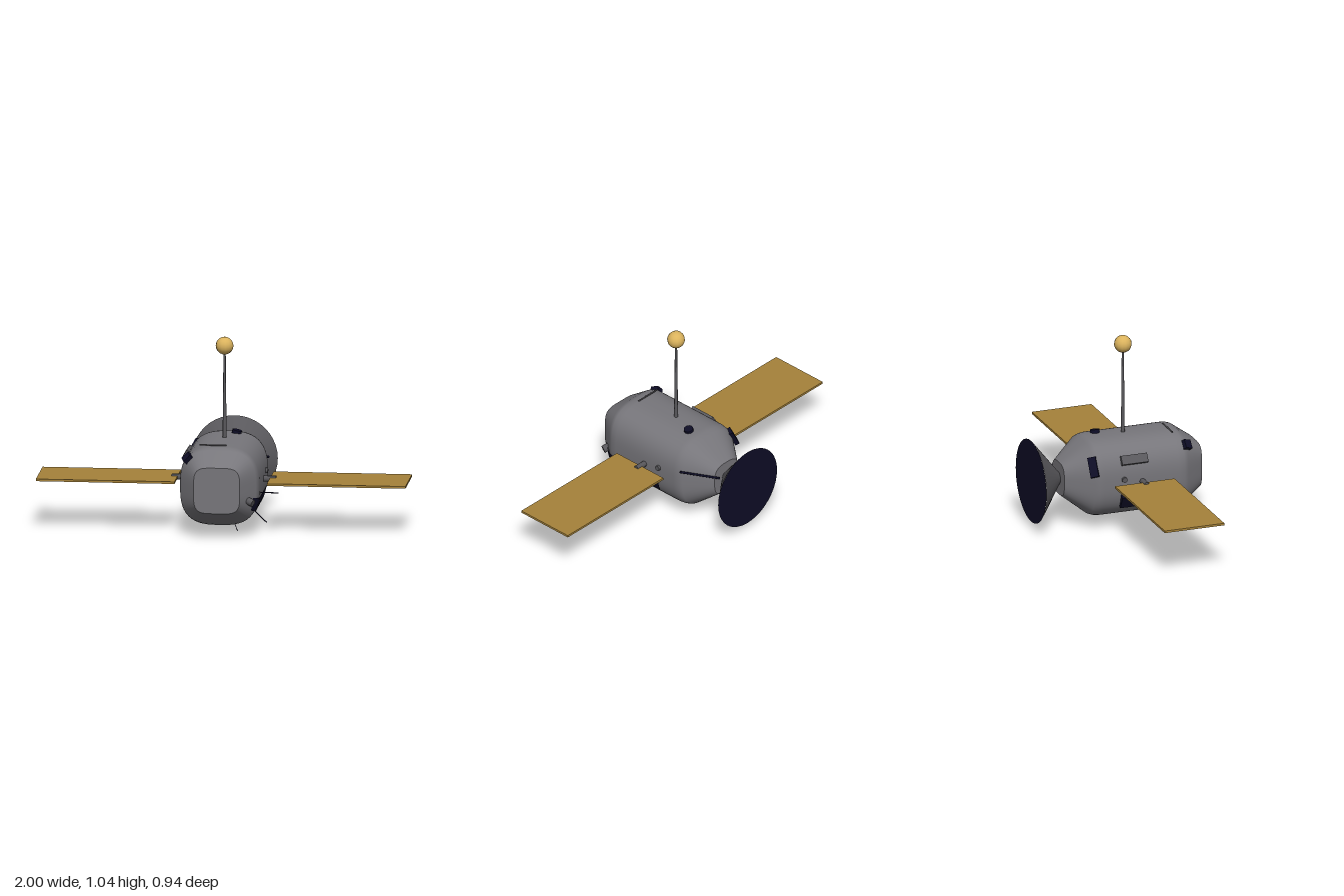
import * as THREE from 'three';

const mat = (name, color, side = THREE.FrontSide) => {
  const m = new THREE.MeshStandardMaterial({ color, side });
  m.name = name;
  return m;
};

const CY = 0.272; // height of the hull axis

// hull profile: z, half width, squareness
const PROFILE = [
  [0.47, 0.125, 4.5], [0.365, 0.201, 3.1], [0.34, 0.211, 2.9], [0.305, 0.215, 2.7],
  [-0.12, 0.215, 2.7], [-0.15, 0.211, 2.7], [-0.175, 0.201, 2.8], [-0.31, 0.092, 3.2],
];

// point on the hull at a given z and angle around the axis
function hullPoint(z, angle, lift = 0) {
  let i = 0;
  while (i < PROFILE.length - 2 && z < PROFILE[i + 1][0]) i++;
  const [z0, r0, p0] = PROFILE[i], [z1, r1, p1] = PROFILE[i + 1];
  const t = (z - z0) / (z1 - z0);
  const p = p0 + (p1 - p0) * t;
  const c = Math.cos(angle), s = Math.sin(angle);
  const r = (r0 + (r1 - r0) * t) / Math.pow(Math.abs(c) ** p + Math.abs(s) ** p, 1 / p) + lift;
  return new THREE.Vector3(r * c, CY + r * s, z);
}

// skin following the hull over a list of z stations and an angle range
function hullSkin(zs, a0, a1, n, lift = 0) {
  const closed = a1 - a0 > 6.28, cols = closed ? n : n + 1;
  const pos = [], index = [];
  for (const z of zs) {
    for (let j = 0; j < cols; j++) pos.push(...hullPoint(z, a0 + (a1 - a0) * j / n, lift).toArray());
  }
  for (let i = 0; i < zs.length - 1; i++) {
    for (let j = 0; j < n; j++) {
      const k = (j + 1) % cols;
      const a = i * cols + j, b = i * cols + k, c = a + cols, d = b + cols;
      index.push(a, c, b, b, c, d);
    }
  }
  const g = new THREE.BufferGeometry();
  g.setAttribute('position', new THREE.Float32BufferAttribute(pos, 3));
  g.setIndex(index);
  g.computeVertexNormals();
  return g;
}

export function createModel() {
  const model = new THREE.Group();
  model.name = 'satellite';
  const hullGrey = mat('hull grey', 0x77767b);
  const darkGrey = mat('dark grey', 0x5a595d);
  const navy = mat('navy', 0x0e0d26, THREE.DoubleSide);
  const panelGold = mat('panel gold', 0xa5823a);
  const ballGold = mat('ball gold', 0xdcb45e);

  const add = (name, geometry, material, x = 0, y = 0, z = 0) => {
    const m = new THREE.Mesh(geometry, material);
    m.name = name;
    m.position.set(x, y, z);
    model.add(m);
    return m;
  };
  // straight rod between two points
  const rod = (name, from, to, r0, r1, material, sides = 8) => {
    const a = new THREE.Vector3(...from), b = new THREE.Vector3(...to);
    const m = add(name, new THREE.CylinderGeometry(r1, r0, a.distanceTo(b), sides), material);
    m.position.lerpVectors(a, b, 0.5);
    m.quaternion.setFromUnitVectors(new THREE.Vector3(0, 1, 0), b.sub(a).normalize());
    return m;
  };
  // fitting seated on the hull, its local x axis pointing outwards
  const mount = (name, geometry, material, z, angle, tilt = 0) => {
    const m = add(name, geometry, material);
    m.position.copy(hullPoint(z, angle, 0.003));
    m.rotation.set(0, tilt, angle, 'ZYX');
    return m;
  };
  const stud = (r, h, sides) => new THREE.CylinderGeometry(r, r, h, sides).rotateZ(-Math.PI / 2);

  // hull with flat end caps
  add('hull', hullSkin(PROFILE.map((p) => p[0]), 0, Math.PI * 2, 64), hullGrey);
  for (const [name, z, turn] of [['frontCap', 0.47, 0], ['rearCap', -0.31, Math.PI]]) {
    const outline = [];
    for (let j = 0; j < 64; j++) {
      const p = hullPoint(z, j / 64 * Math.PI * 2);
      outline.push(new THREE.Vector2(p.x, p.y - CY));
    }
    add(name, new THREE.ShapeGeometry(new THREE.Shape(outline)), hullGrey, 0, CY, z).rotation.y = turn;
  }

  // rear dish
  add('dish', new THREE.CylinderGeometry(0.03, 0.232, 0.16, 40, 1, true).rotateX(Math.PI / 2),
    darkGrey, 0, CY, -0.387);
  add('dishFace', new THREE.CircleGeometry(0.231, 40), navy, 0, CY, -0.467).rotation.y = Math.PI;

  // mast and ball
  rod('mast', [0, 0.48, 0.062], [0, 0.96, 0.062], 0.011, 0.006, darkGrey);
  add('mastBall', new THREE.SphereGeometry(0.048, 14, 10), ballGold, 0, 0.99, 0.062);

  // solar panels, their arms and side knobs
  for (const s of [1, -1]) {
    add('solarPanel', new THREE.BoxGeometry(0.75, 0.012, 0.343), panelGold, s * 0.625, 0.271, 0.092);
    rod('panelArm', [s * 0.19, 0.272, 0.092], [s * 0.282, 0.272, 0.092], 0.017, 0.017, darkGrey, 6);
    add('sideKnob', stud(0.015, 0.04, 10), darkGrey, s * 0.207, 0.295, -0.012);
  }

  // curved dark plate low on the left flank
  add('flankPlate', hullSkin([0.39, 0.365, 0.34, 0.305, 0.1, -0.01], -0.59, -0.26, 6, 0.006), navy);

  // fittings around the hull
  mount('frontThruster', stud(0.021, 0.05, 8), darkGrey, 0.41, -0.37, -0.4);
  mount('topSensor', stud(0.026, 0.026, 12), navy, -0.08, Math.PI / 2 - 0.23);
  mount('sideBox', new THREE.BoxGeometry(0.03, 0.05, 0.15), darkGrey, 0.05, 2.58);
  mount('frontSensor', new THREE.BoxGeometry(0.03, 0.05, 0.045), navy, 0.365, 2.39, -0.45);
  mount('rearSensor', new THREE.BoxGeometry(0.025, 0.11, 0.045), navy, -0.18, 2.63, 0.5);
  mount('lowerSensor', new THREE.BoxGeometry(0.03, 0.075, 0.08), navy, 0.01, Math.PI + 0.46);

  // bars and whisker aerials
  rod('topBar', [-0.11, 0.491, 0.305], [0.035, 0.491, 0.305], 0.004, 0.004, darkGrey);
  rod('rearBar', [0.215, 0.34, -0.168], [0.075, 0.306, -0.332], 0.006, 0.006, navy);
  rod('whisker', [0.19, 0.225, 0.248], [0.31, 0.225, 0.248], 0.003, 0.003, navy, 6);
  rod('whisker', [0.16, 0.125, 0.175], [0.24, 0.047, 0.175], 0.003, 0.003, navy, 6);
  rod('whisker', [0.06, 0.07, 0.2], [0.085, 0.001, 0.2], 0.002, 0.002, navy, 6);

  return model;
}
